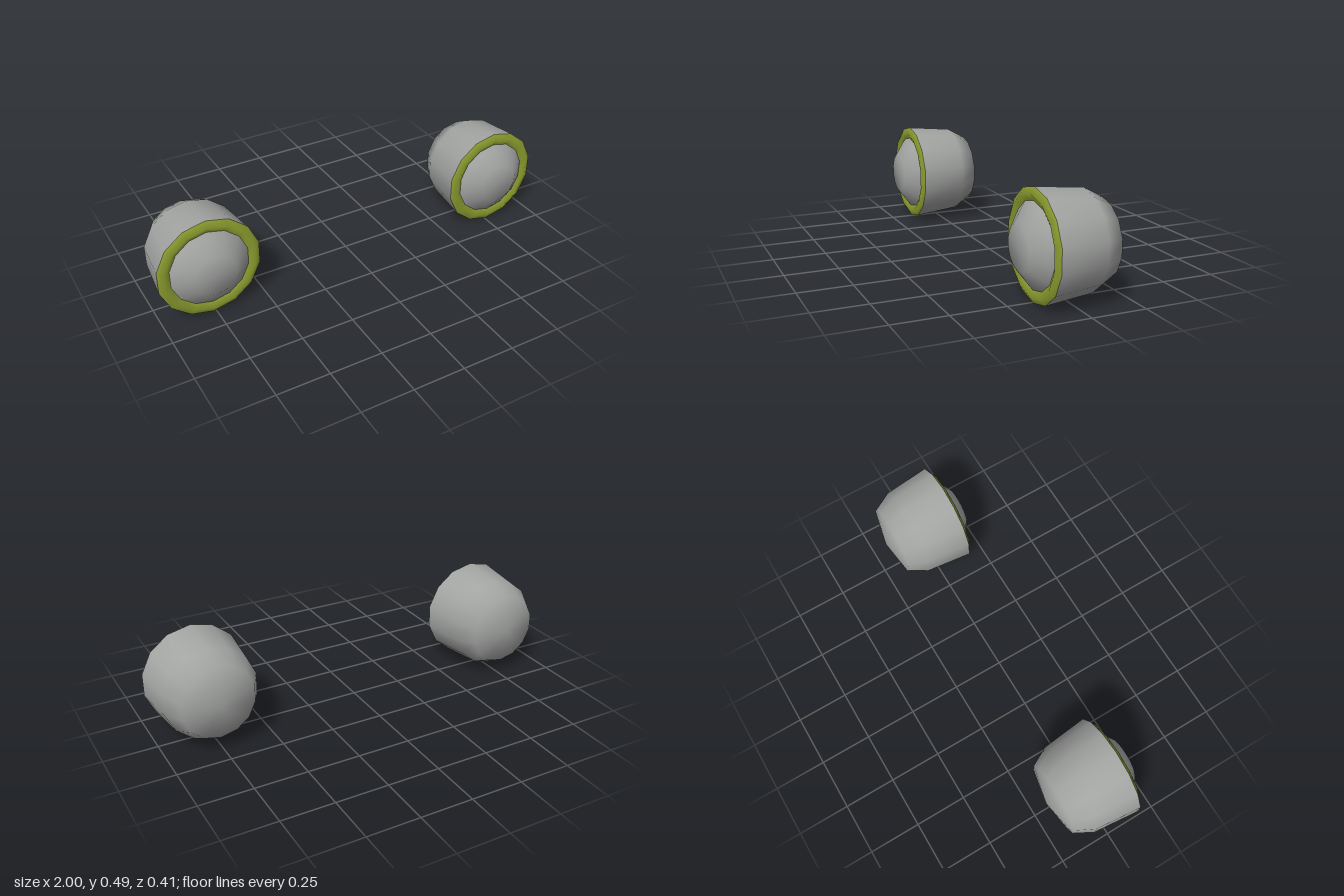
import * as THREE from 'three';
import { mergeVertices } from 'three/addons/utils/BufferGeometryUtils.js';

const SIDES = 14;

// Smooth solid of revolution about z; profile is [radius, z] from back to front
function turned(name, profile, material) {
  let geo = new THREE.LatheGeometry(profile.map(([r, z]) => new THREE.Vector2(r, z)), SIDES);
  geo.rotateX(Math.PI / 2);
  geo.deleteAttribute('uv');
  geo.deleteAttribute('normal');
  geo = mergeVertices(geo, 1e-4);
  geo.computeVertexNormals();
  const mesh = new THREE.Mesh(geo, material);
  mesh.name = name;
  return mesh;
}

export function createModel() {
  const grey = new THREE.MeshStandardMaterial({ color: 0xa3a5a3 });
  grey.name = 'grey metal';
  const green = new THREE.MeshStandardMaterial({ color: 0x8e9f30 });
  green.name = 'olive green';

  const model = new THREE.Group();
  model.name = 'lampPair';

  for (const side of [-1, 1]) {
    const lamp = new THREE.Group();
    lamp.name = side > 0 ? 'leftLamp' : 'rightLamp';
    lamp.position.set(side * 0.761, 0.246, 0);

    // tapered housing with a shallow pointed back
    lamp.add(turned('housing', [[0, -0.207], [0.175, -0.17], [0.222, -0.082], [0.245, 0.138]], grey));
    // bevelled rim around the front opening
    lamp.add(turned('rim', [[0.245, 0.138], [0.215, 0.155], [0.184, 0.138]], green));
    // domed lens with a flat front
    lamp.add(turned('lens', [[0.19, 0.138], [0.17, 0.155], [0.101, 0.207], [0, 0.207]], grey));

    model.add(lamp);
  }
  return model;
}
